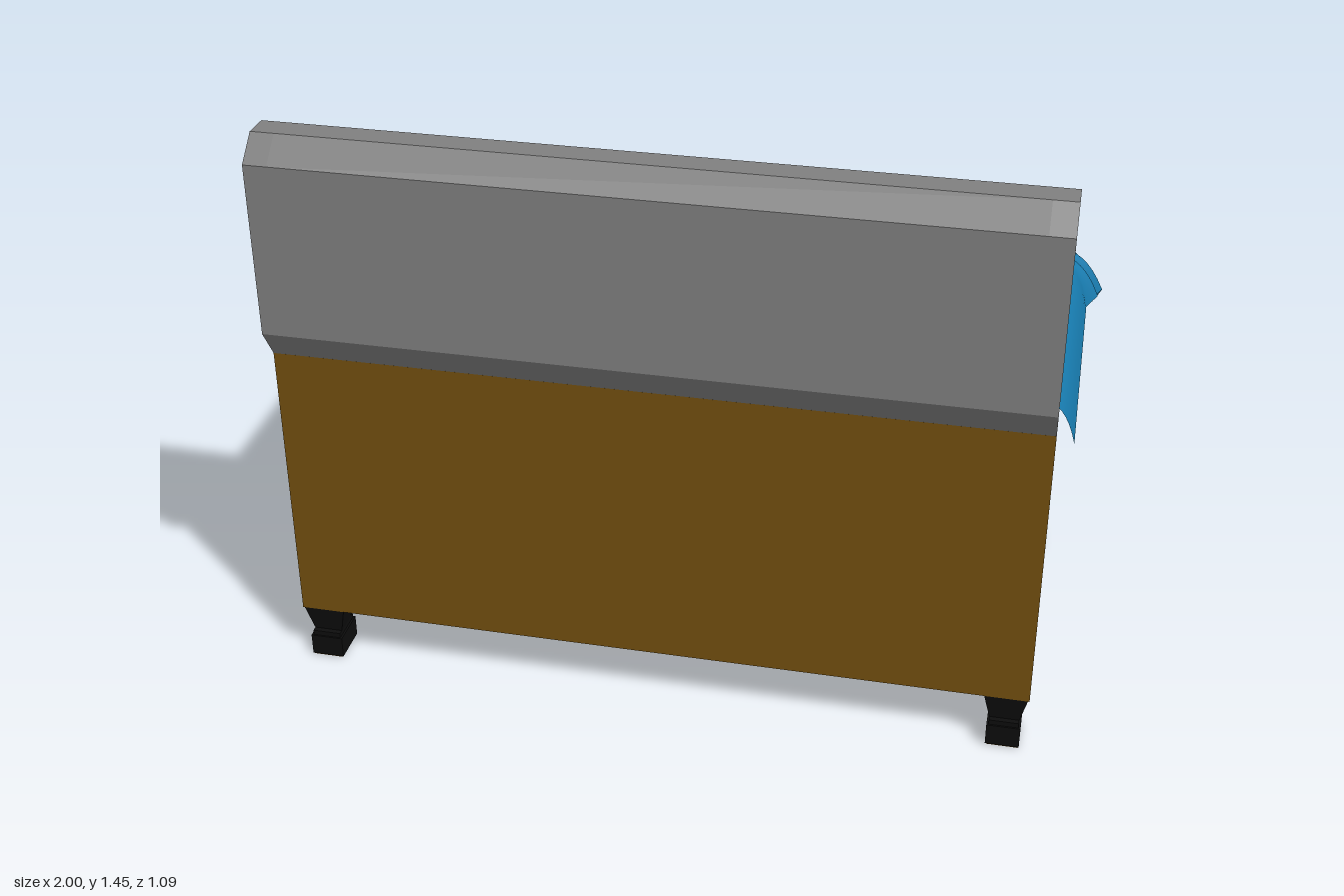
import * as THREE from 'three';

const mat = (color, opts = {}) => new THREE.MeshStandardMaterial({ color, ...opts });
const wood = mat(0x74500f), orange = mat(0xde840f), black = mat(0x0d0d0d);
const charcoal = mat(0x333333), grey = mat(0x808080), glass = mat(0xb4b4b4, { flatShading: true });
const blue = mat(0x177aad, { side: THREE.DoubleSide });

export function createModel() {
  const root = new THREE.Group();

  const add = (name, geometry, material, parent = root) => {
    const mesh = new THREE.Mesh(geometry, material);
    mesh.name = name;
    parent.add(mesh);
    return mesh;
  };
  // Box given by its limits on each axis
  const box = (name, [x0, x1], [y0, y1], [z0, z1], material, parent) => {
    const m = add(name, new THREE.BoxGeometry(x1 - x0, y1 - y0, z1 - z0), material, parent);
    m.position.set((x0 + x1) / 2, (y0 + y1) / 2, (z0 + z1) / 2);
    return m;
  };
  // Profile of [z, y] points extruded from x0 to x1
  const extrudeX = (name, profile, x0, x1, material) => {
    const shape = new THREE.Shape(profile.map(([z, y]) => new THREE.Vector2(z, y)));
    const g = new THREE.ExtrudeGeometry(shape, { depth: x1 - x0, bevelEnabled: false });
    g.rotateY(-Math.PI / 2).translate(x1, 0, 0);
    return add(name, g, material);
  };
  // Cable with straight runs between corners
  const cable = (name, pts, radius, material, parent) => {
    const path = new THREE.CurvePath();
    const v = pts.map((p) => new THREE.Vector3(...p));
    for (let i = 1; i < v.length; i++) path.add(new THREE.LineCurve3(v[i - 1], v[i]));
    return add(name, new THREE.TubeGeometry(path, 60, radius, 6), material, parent);
  };

  // Cabinet and its two wide drawers
  const W = 0.922;
  box('cabinet', [-W, W], [0.145, 0.888], [-0.462, 0.497], wood);
  box('lowerDrawer', [-W, W], [0.168, 0.48], [-0.505, -0.46], charcoal);
  box('upperDrawer', [-W, W], [0.5, 0.835], [-0.505, -0.46], charcoal);

  // Tapered legs on block feet
  for (const x of [-0.866, 0.866]) {
    for (const z of [0.449, -0.42]) {
      const leg = new THREE.Group();
      leg.name = 'leg';
      leg.position.set(x, 0, z);
      root.add(leg);
      const taper = new THREE.CylinderGeometry(Math.SQRT1_2, 0.48, 0.075, 4, 1);
      taper.rotateY(Math.PI / 4).scale(0.105, 1, 0.094).translate(0, 0.108, 0);
      add('legTaper', taper.toNonIndexed(), mat(0x0d0d0d, { flatShading: true }), leg);
      box('footBlock', [-0.041, 0.041], [0.004, 0.06], [-0.05, 0.05], black, leg);
      box('footCollar', [-0.036, 0.036], [0.06, 0.073], [-0.046, 0.046], black, leg);
      box('footPad', [-0.038, 0.038], [0, 0.004], [-0.047, 0.047], wood, leg);
    }
  }

  // Upright panel: solid ends, recessed middle holding a dark screen
  const outer = [[0.495, 0.885], [0.546, 0.965], [0.546, 1.395], [0.487, 1.452], [0.42, 1.452], [0.477, 1.395]];
  const lower = [[0.477, 0.965], [0.425, 0.885]];
  const recess = [[0.477, 1.375], [0.525, 1.375], [0.525, 0.985], [0.477, 0.985]];
  extrudeX('panelEnd', [...outer, ...lower], -W, -0.865, grey);
  extrudeX('panelEnd', [...outer, ...lower], 0.865, W, grey);
  extrudeX('panelFrame', [...outer, ...recess, ...lower], -0.865, 0.865, grey);
  box('screen', [-0.865, 0.865], [0.985, 1.375], [0.515, 0.525], black);

  // Cloth: each column runs from the middle, over the rounded edge, to the hem
  const edge = [], hem = [];
  [ // edge x, z, hem x, y, z
    [0.925, 0.38, 0.963, 0.803, 0.38], [0.925, 0.1, 0.963, 0.8, 0.1], [0.925, -0.28, 0.963, 0.802, -0.28],
    [0.925, -0.35, 0.965, 0.785, -0.35], [0.925, -0.38, 0.99, 0.8, -0.385], [0.925, -0.4, 0.965, 0.765, -0.405],
    [0.925, -0.42, 1.0, 0.79, -0.445], [0.925, -0.44, 0.972, 0.735, -0.465], [0.92, -0.455, 0.965, 0.765, -0.5],
    [0.9, -0.46, 0.91, 0.805, -0.542], [0.87, -0.46, 0.88, 0.79, -0.525], [0.83, -0.46, 0.84, 0.815, -0.507],
    [0.76, -0.46, 0.76, 0.835, -0.487], [0.35, -0.46, 0.35, 0.838, -0.482],
  ].forEach(([ex, ez, hx, hy, hz]) => {
    edge.push(new THREE.Vector3(ex, 0.906, ez));
    hem.push(new THREE.Vector3(hx, hy, hz));
  });
  const mirrored = (list) => [...list, ...list.map((p) => p.clone().setX(-p.x)).reverse()];
  const edgeCurve = new THREE.CatmullRomCurve3(mirrored(edge), false, 'catmullrom', 0.3);
  const hemCurve = new THREE.CatmullRomCurve3(mirrored(hem), false, 'catmullrom', 0.3);
  const cols = 108, rows = 8, pos = [], index = [];
  for (let i = 0; i <= cols; i++) {
    const e = edgeCurve.getPoint(i / cols), h = hemCurve.getPoint(i / cols);
    const inner = new THREE.Vector3(e.x * 0.965, 0.906, Math.max(e.z, -0.43));
    const ctrl = e.clone().lerp(h, 0.35).setY(0.903);
    const fold = new THREE.QuadraticBezierCurve3(inner, ctrl, h);
    pos.push(0, 0.906, 0.38);
    for (let j = 0; j < rows; j++) pos.push(...fold.getPoint(j / (rows - 1)).toArray());
    if (i === cols) break;
    for (let j = 0; j < rows; j++) {
      const a = i * (rows + 1) + j, b = a + rows + 1;
      index.push(a, a + 1, b + 1, a, b + 1, b);
    }
  }
  const clothGeo = new THREE.BufferGeometry();
  clothGeo.setAttribute('position', new THREE.Float32BufferAttribute(pos, 3));
  clothGeo.setIndex(index);
  clothGeo.computeVertexNormals();
  add('cloth', clothGeo, blue);

  // Orange apparatus with a framed dark face
  const device = new THREE.Group();
  device.name = 'apparatus';
  root.add(device);
  box('housing', [0.402, 0.856], [0.907, 1.12], [0.045, 0.318], orange, device);
  box('faceRim', [0.402, 0.856], [1.108, 1.12], [0.033, 0.045], orange, device);
  box('faceRim', [0.402, 0.856], [0.907, 0.919], [0.033, 0.045], orange, device);
  box('faceRim', [0.402, 0.414], [0.919, 1.108], [0.033, 0.045], orange, device);
  box('faceRim', [0.844, 0.856], [0.919, 1.108], [0.033, 0.045], orange, device);
  box('facePlate', [0.414, 0.844], [0.919, 1.108], [0.039, 0.045], charcoal, device);
  const knob = add('knob', new THREE.CylinderGeometry(0.011, 0.009, 0.016, 8), charcoal, device);
  knob.position.set(0.833, 1.128, 0.053);

  // Domed glass tubes joined by a wire
  const dome = [[0, 0], [0.042, 0], [0.042, 0.135], [0.036, 0.153], [0.02, 0.166], [0.005, 0.168], [0.005, 0.206], [0, 0.206]];
  for (const x of [0.532, 0.726]) {
    const g = new THREE.LatheGeometry(dome.map((p) => new THREE.Vector2(...p)), 10);
    add('glassTube', g, glass, device).position.set(x, 1.119, 0.175);
  }
  cable('tubeWire', [[0.532, 1.32, 0.175], [0.726, 1.32, 0.175]], 0.004, grey, device);

  // Leads lying on the cloth, with lifted ends
  cable('lead', [[0.41, 0.94, 0.225], [0.35, 0.92, 0.225], [0.11, 0.916, 0.222], [-0.045, 0.916, 0.065], [-0.045, 0.957, -0.112]], 0.008, black);
  cable('lead', [[0.41, 0.94, 0.125], [0.35, 0.92, 0.125], [0.16, 0.916, 0.125], [0.02, 0.93, -0.06], [0.02, 0.957, -0.112]], 0.008, black);
  cable('longLead', [[0.63, 0.925, 0.315], [0.63, 0.916, 0.345], [-0.828, 0.914, 0.345], [-0.828, 0.914, 0.02], [-0.8, 0.918, 0.005]], 0.006, black);

  // Slim rod on a small pivot at the end of the long lead
  add('pivot', new THREE.SphereGeometry(0.015, 10, 8), charcoal).position.set(-0.8, 0.918, 0.005);
  cable('rod', [[-0.848, 0.926, -0.082], [-0.692, 0.926, 0.135]], 0.005, charcoal);

  return root;
}
